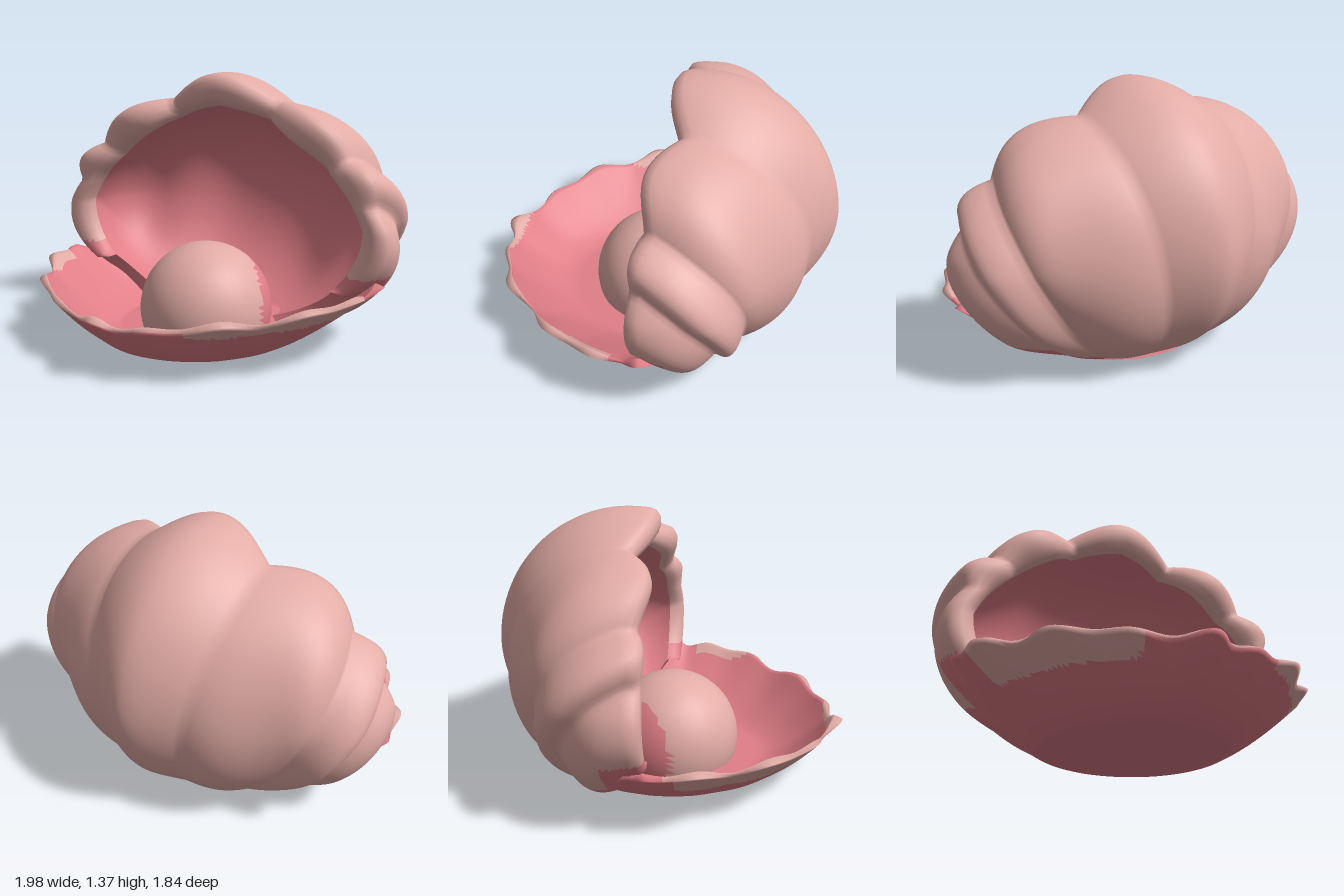
import * as THREE from 'three';

const shellTan = new THREE.MeshStandardMaterial({ color: 0xe3aca6, side: THREE.DoubleSide });
shellTan.name = 'shellTan';
const innerPink = new THREE.MeshStandardMaterial({ color: 0xe17e87, side: THREE.DoubleSide });
innerPink.name = 'innerPink';

const rad = THREE.MathUtils.degToRad;
const smooth = THREE.MathUtils.smoothstep;
const lerp = THREE.MathUtils.lerp;
const bell = (v, width) => Math.exp(-((v / width) ** 2));

// Splits the triangles into a tan and a pink group by a rule on their centres
function paint(geo, isPink) {
  const idx = geo.index.array, pos = geo.attributes.position;
  const lists = [[], []];
  const c = new THREE.Vector3(), p = new THREE.Vector3();
  for (let t = 0; t < idx.length; t += 3) {
    c.set(0, 0, 0);
    for (let k = 0; k < 3; k++) c.add(p.fromBufferAttribute(pos, idx[t + k]));
    c.divideScalar(3);
    lists[isPink(c, t / 3) ? 1 : 0].push(idx[t], idx[t + 1], idx[t + 2]);
  }
  geo.setIndex([...lists[0], ...lists[1]]);
  geo.clearGroups();
  geo.addGroup(0, lists[0].length, 0);
  geo.addGroup(lists[0].length, lists[1].length, 1);
  return geo;
}

// Skins a grid of cross-section rows; wrap closes each row into a ring
function skin(rows, wrap, isPink) {
  const n = rows[0].length, cols = wrap ? n : n - 1;
  const index = [];
  for (let i = 0; i < rows.length - 1; i++) {
    for (let j = 0; j < cols; j++) {
      const k = (j + 1) % n;
      const a = i * n + j, b = i * n + k, c = a + n, d = b + n;
      index.push(a, b, c, b, d, c);
    }
  }
  const geo = new THREE.BufferGeometry().setFromPoints(rows.flat());
  geo.setIndex(index);
  geo.computeVertexNormals();
  return paint(geo, (c, tri) => isPink(c, Math.floor(tri / (2 * cols))));
}

function mesh(name, geo) {
  const m = new THREE.Mesh(geo, [shellTan, innerPink]);
  m.name = name;
  return m;
}

// Rib height 0..1 at an angle from the middle; valleys sit at the listed angles
const VALLEYS = [-22, 22, 58, 79, 124];
function ribAt(d) {
  const i = Math.max(1, VALLEYS.findIndex(v => d <= v));
  return Math.sin(Math.PI * (d - VALLEYS[i - 1]) / (VALLEYS[i] - VALLEYS[i - 1]));
}

// Hooded upper shell: ribs fan from the edge of the foot to a rolled rim
function upperShell() {
  const COLS = 124, STEPS = 44, LIP = 6;

  // s runs from foot to rim, lip runs 0..1 around the rolled edge
  function point(j, s, lip, inside) {
    const deg = -34 + j * 2, phi = rad(deg);
    const sin = Math.sin(phi), cos = Math.cos(phi);
    const up = Math.max(0, sin);
    const rib = ribAt(Math.abs(deg - 90));
    const crest = bell(deg - 90, 14);
    const rimZ = 0.17 - 0.2 * (1 - rib) * up * up - 0.05 * crest;
    const c = Math.sqrt(1 - rimZ * rimZ);
    const k = (sin + 0.56) / 1.56;
    const psi = Math.PI * j / COLS;
    const foot = new THREE.Vector3(0.4 * Math.cos(psi), -0.9, 0.15 - 0.57 * Math.sin(psi)).normalize();
    const mid = new THREE.Vector3(0.9 * cos * Math.abs(cos) ** 0.4, -0.7 + k, -1.3 * k);
    const p = foot.multiplyScalar((1 - s) ** 2)
      .addScaledVector(mid, 2 * s * (1 - s))
      .addScaledVector(new THREE.Vector3(c * cos, c * sin, rimZ), s * s).normalize();

    // the wall thickens towards the upper corners of the opening
    const diagonal = up * Math.abs(cos) * 2;
    const inner = 0.87 - 0.08 * diagonal * smooth(s, 0.5, 1);
    const bulge = -0.03 + 0.075 * rib + 0.08 * crest;
    const outer = j === 0 || j === COLS ? inner : 1 + bulge * smooth(s, 0, 0.45);
    const f = inside ? inner
      : (outer + inner) / 2 + (outer - inner) / 2 * Math.cos(lip * Math.PI);
    const narrow = 0.97 * (1 - 0.08 * Math.max(0, p.y));
    // the back is flattened either side of the middle ribs
    const depth = p.z < 0 ? 0.635 * (1 - 0.17 * bell(Math.abs(p.x) - 0.65, 0.22)) : 0.72;
    return new THREE.Vector3(
      p.x * narrow * f,
      Math.max(inside ? 0.03 : 0.005, 0.62 + p.y * 0.67 * f),
      -0.2 + p.z * depth * f + 0.07 * Math.sin(lip * Math.PI));
  }

  const row = (s, lip, inside) =>
    Array.from({ length: COLS + 1 }, (_, j) => point(j, s, lip, inside));
  const rows = [];
  for (let i = 0; i <= STEPS; i++) rows.push(row(i / STEPS, 0, false));
  for (let i = 1; i <= LIP; i++) rows.push(row(1, i / LIP, false));
  for (let i = STEPS; i >= 0; i--) rows.push(row(i / STEPS, 0, true));

  return skin(rows, false, (c, r) =>
    r >= STEPS + LIP
    || c.y < 0.18 - 0.5 * Math.max(0, -c.z - 0.3)
    || (c.z > -0.2 && c.y < 0.38));
}

// Shallow lower shell: flat foot, fluted wall, wavy rim and smooth bowl
function lowerShell() {
  const COLS = 200, STEPS = 24;
  const bend = v => Math.sign(v) * Math.abs(v) ** 1.18;

  function point(j, step, inside) {
    const a = (j / COLS) * Math.PI * 2;
    const sin = Math.sin(a), cos = Math.cos(a);
    const away = Math.abs(a > Math.PI ? a - Math.PI * 2 : a);
    const limit = 1 - 0.8 * smooth(away, rad(98), rad(128));
    const t = step * limit;
    const wave = Math.cos(17 * a + 2) * 0.6 + Math.cos(10 * a + 1) * 0.5;
    const flute = (inside ? 0.012 : 0.035) * wave * t;
    const back = cos < 0;
    const x = lerp(0.47 * sin, 0.94 * bend(sin), t);
    const z = lerp((back ? 0.46 : 0.49) * cos, (back ? 0.7 : 0.9) * bend(cos), t);
    const rimY = 0.26 + 0.07 * sin * sin;
    const y = rimY * t ** lerp(1.8, 1.2, sin * sin) + 0.022 * wave * t * t;
    const shrink = (inside ? 0.975 : 1) * (1 + flute);
    return new THREE.Vector3(x * shrink, Math.max(0, y) + (inside ? 0.035 - 0.02 * t : 0), z * shrink);
  }

  const row = (step, inside) => Array.from({ length: COLS }, (_, j) => point(j, step, inside));
  const centre = y => Array.from({ length: COLS }, () => new THREE.Vector3(0, y, 0));
  const rows = [centre(0), row(0, false)];
  for (let i = 0; i <= STEPS; i++) rows.push(row(i / STEPS, false));
  for (let i = STEPS; i >= 0; i--) rows.push(row(i / STEPS, true));
  rows.push(centre(0.035));

  // tan shows on the rim, in patches below it and just inside its sides
  const rimRow = STEPS + 2;
  return skin(rows, true, (c, r) => {
    const side = Math.abs(c.x);
    if (c.z < 0.08) return true;
    if (r === rimRow) return false;
    if (r < rimRow) return !(side > 0.33 && c.y > (c.x < 0 ? 0.18 : 0.23) && c.z > 0.12);
    return !(r <= rimRow + 3 && (c.z > 0.84 || (side > 0.77 && c.z < 0.42)));
  });
}

// Pearl resting on the floor of the bowl, pink towards its back
function pearl() {
  const geo = new THREE.SphereGeometry(0.355, 40, 20, 0, Math.PI * 2, 0, 1.86);
  geo.translate(0, 0.125, 0.02);
  return paint(geo, c => c.z - Math.abs(c.x) < -0.31);
}

export function createModel() {
  const group = new THREE.Group();
  group.name = 'clamWithPearl';
  group.add(
    mesh('upperShell', upperShell()),
    mesh('lowerShell', lowerShell()),
    mesh('pearl', pearl()));
  return group;
}
